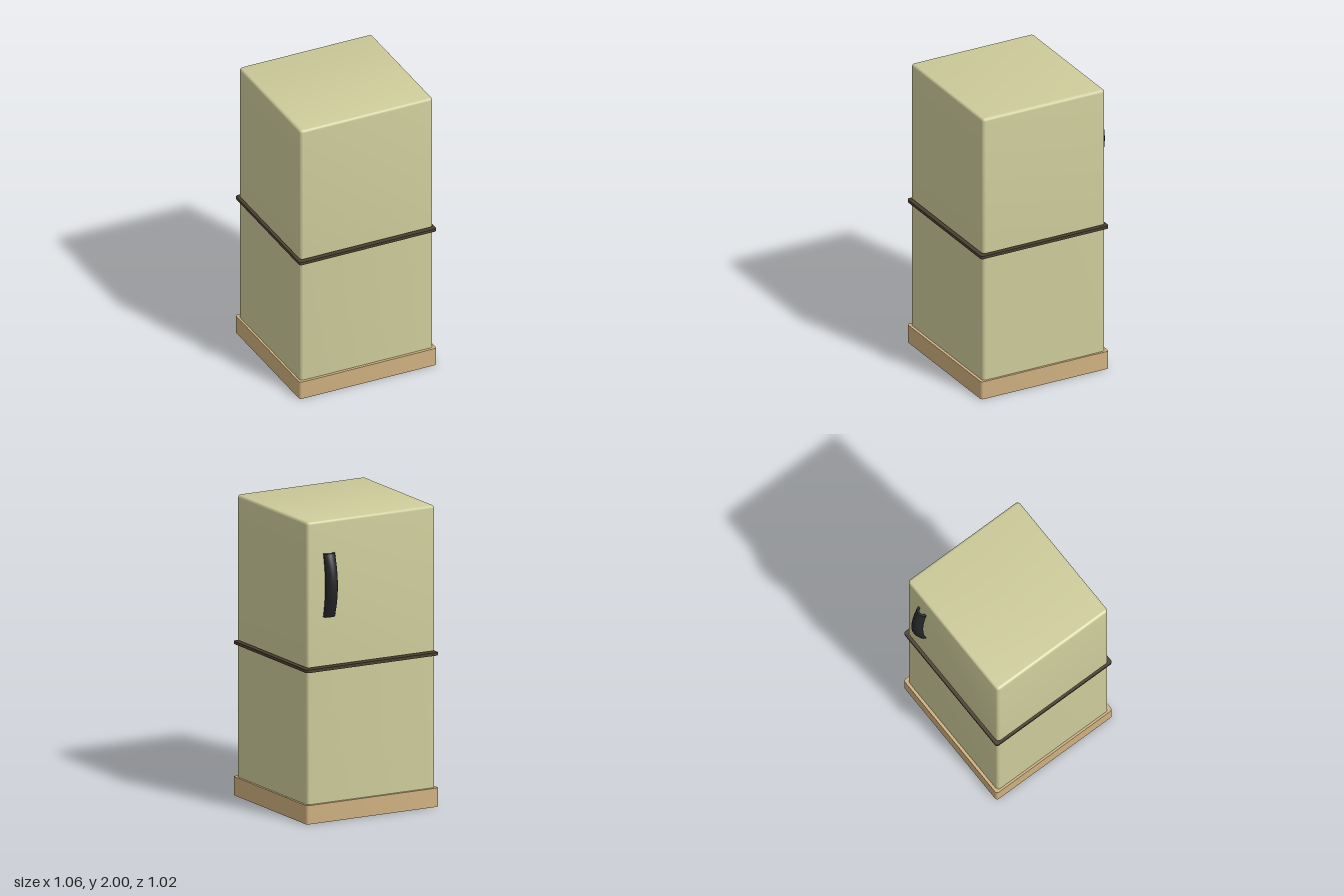
import * as THREE from 'three';
import { toCreasedNormals } from 'three/addons/utils/BufferGeometryUtils.js';

const mat = (color, extra = {}) => new THREE.MeshStandardMaterial({ color, ...extra });

// Rounded rectangle centred on the origin
function roundedRect(w, d, r) {
  const s = new THREE.Shape();
  const x = w / 2 - r, y = d / 2 - r;
  s.absarc(x, y, r, 0, Math.PI / 2);
  s.absarc(-x, y, r, Math.PI / 2, Math.PI);
  s.absarc(-x, -y, r, Math.PI, Math.PI * 1.5);
  s.absarc(x, -y, r, Math.PI * 1.5, Math.PI * 2);
  return s;
}

// Upright block with rounded vertical edges; topRound also rounds the upper rim
function block(name, w, d, y0, y1, r, material, topRound = 0) {
  const b = topRound;
  const geo = new THREE.ExtrudeGeometry(roundedRect(w - 2 * b, d - 2 * b, r - b), {
    depth: y1 - y0 - b, curveSegments: 6,
    bevelEnabled: b > 0, bevelSize: b, bevelThickness: b, bevelSegments: 5,
  });
  // keep the underside flat with a square edge
  const p = geo.attributes.position;
  for (let i = 0; i < p.count; i++) p.setZ(i, Math.max(0, p.getZ(i)));
  geo.rotateX(-Math.PI / 2);
  const mesh = new THREE.Mesh(toCreasedNormals(geo, 0.6), material);
  mesh.name = name;
  mesh.position.y = y0;
  return mesh;
}

// Bowed pull: a crescent section swept upright, deepest in the middle
function pullHandle(material) {
  const rows = 20, arc = 10, height = 0.42;
  const ring = (t) => {
    const bow = 1 - t * t;
    const lift = 0.026 * bow, crest = 0.033 + 0.022 * bow;
    const pts = [];
    for (const [halfW, h, flip] of [[0.042, crest, 1], [0.024, crest - 0.014, -1]])
      for (let i = 0; i <= arc; i++) {
        const a = flip * (i / arc - 0.5) * Math.PI;
        pts.push([halfW * Math.sin(a), t * height / 2, -lift - h * Math.cos(a)]);
      }
    return pts;
  };
  const n = 2 * (arc + 1), pos = [], index = [];
  for (let j = 0; j <= rows; j++) pos.push(...ring(j / rows * 2 - 1).flat());
  for (let j = 0; j < rows; j++)
    for (let i = 0; i < n; i++) {
      const a = j * n + i, b = j * n + (i + 1) % n;
      index.push(a, a + n, b, b, a + n, b + n);
    }
  // crescent end caps
  for (let i = 0; i < arc; i++) {
    const a = i, b = i + 1, c = n - 1 - i, d = n - 2 - i, top = rows * n;
    index.push(a, b, c, b, d, c);
    index.push(top + a, top + c, top + b, top + b, top + c, top + d);
  }
  const geo = new THREE.BufferGeometry();
  geo.setAttribute('position', new THREE.Float32BufferAttribute(pos, 3));
  geo.setIndex(index);
  const mesh = new THREE.Mesh(toCreasedNormals(geo, 0.7), material);
  mesh.name = 'doorHandle';
  return mesh;
}

export function createModel() {
  const model = new THREE.Group();
  model.name = 'cabinet';

  const cream = mat(0xcdcb9a);
  const W = 0.955, D = 0.905;

  // Plinth, lower case, dark divider strip and upper case
  model.add(
    block('plinth', 0.985, 0.945, 0, 0.125, 0.018, mat(0xcfb080)),
    block('lowerCase', W, D, 0.125, 1.005, 0.024, cream),
    block('dividerStrip', 0.985, 0.945, 1.005, 1.025, 0.018, mat(0x4a3f30)),
    block('upperCase', W, D, 1.034, 2, 0.024, cream, 0.02),
  );

  // Handle on the rear face of the upper case
  const handle = pullHandle(mat(0x26262a, { side: THREE.DoubleSide }));
  handle.position.set(0.318, 1.57, -D / 2);
  model.add(handle);

  // The whole body stands slightly turned
  model.rotation.y = -THREE.MathUtils.degToRad(5);
  const root = new THREE.Group();
  root.add(model);
  return root;
}
